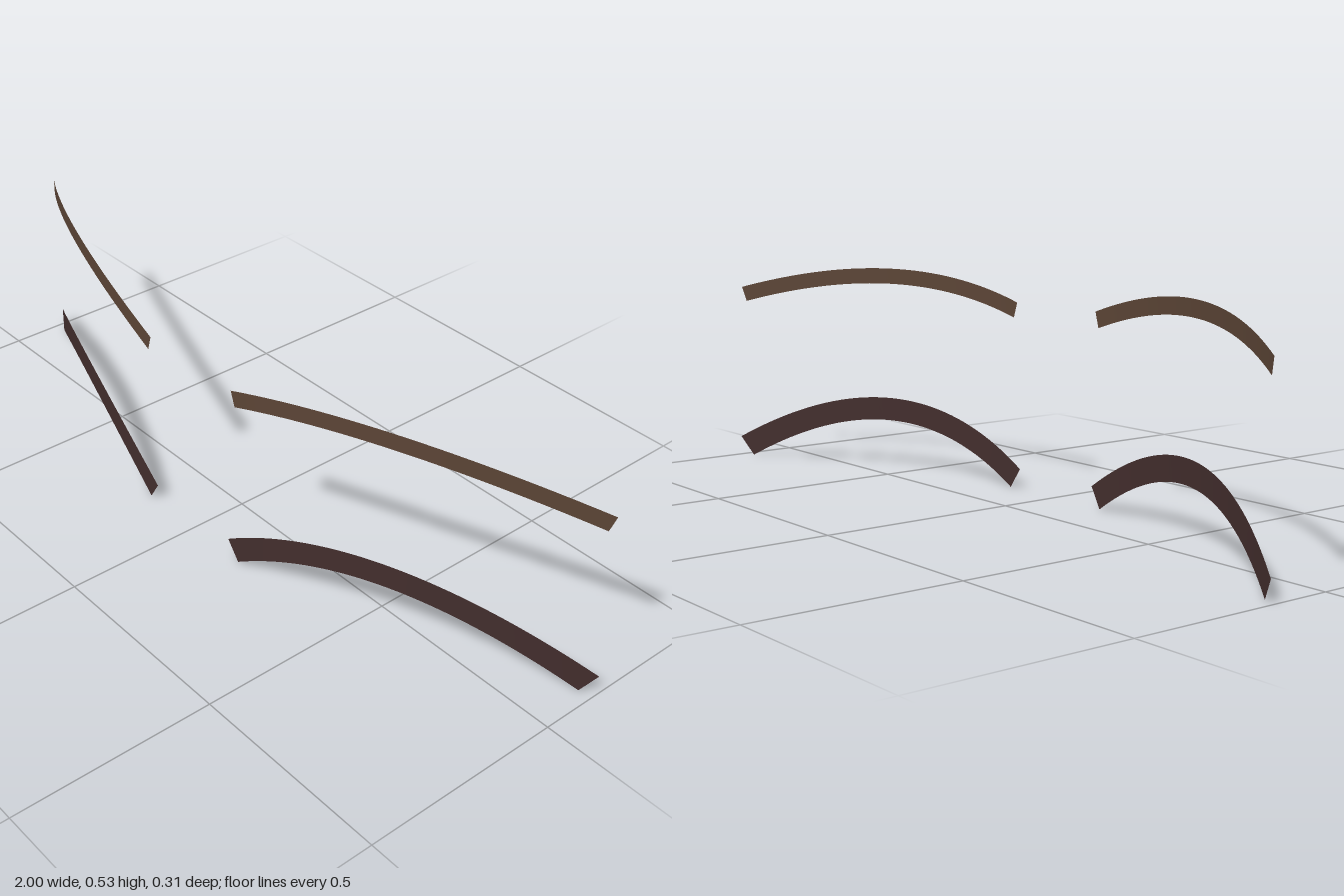
import * as THREE from 'three';

const CENTRE_X = 0.568; // middle of each arch, either side of x = 0
const HALF_SPAN = 0.415;

// Thin arched ribbon with square-cut ends, wrapped round a shared curved face surface.
function archedStrip(name, side, peakY, drop, width, material) {
  const geometry = new THREE.PlaneGeometry(2, width, 40, 1);
  const pos = geometry.attributes.position;
  for (let i = 0; i < pos.count; i++) {
    const t = pos.getX(i); // -1..1 along the arch
    const offset = pos.getY(i); // across the strip
    const angle = Math.atan((-2 * drop * t) / HALF_SPAN);
    const x = side * CENTRE_X + t * HALF_SPAN - offset * Math.sin(angle);
    const y = peakY - drop * t * t + offset * Math.cos(angle);
    pos.setXYZ(i, x, y, 0.16 - 0.3145 * x * x);
  }
  geometry.computeVertexNormals();
  const mesh = new THREE.Mesh(geometry, material);
  mesh.name = name;
  return mesh;
}

export function createModel() {
  const group = new THREE.Group();
  group.name = 'browsAndLashes';
  const browMaterial = new THREE.MeshStandardMaterial({ color: 0x5c4536, side: THREE.DoubleSide });
  const lashMaterial = new THREE.MeshStandardMaterial({ color: 0x432e2d, side: THREE.DoubleSide });

  // One eyebrow above one lash line on each side
  for (const [label, side] of [['left', 1], ['right', -1]]) {
    group.add(archedStrip(label + 'Eyebrow', side, 0.515, 0.064, 0.04, browMaterial));
    group.add(archedStrip(label + 'LashLine', side, 0.16, 0.134, 0.06, lashMaterial));
  }
  return group;
}
